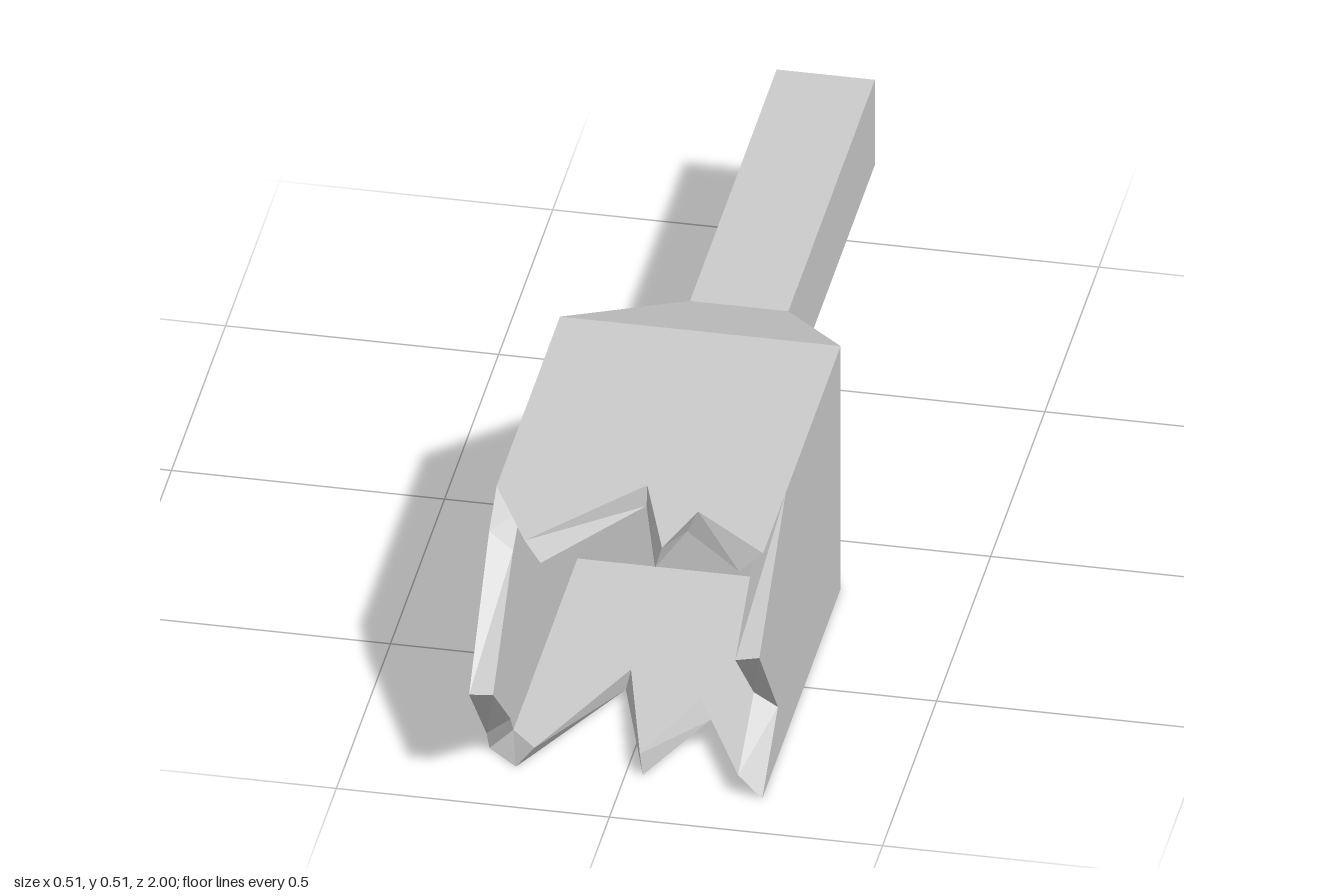
import * as THREE from 'three';

const HALF = 0.257;       // outer half width of the square body
const INNER = 0.213;      // inner half width
const NECK = 0.09;        // half width of the neck
const SHOULDER = 0.16;    // z where the walls begin
const NECK_Z = -0.2;      // z where the neck meets the shoulder

export function createModel() {
  const group = new THREE.Group();
  const material = new THREE.MeshStandardMaterial({ color: 0xcccccc, flatShading: true });

  const add = (name, geometry, z = 0) => {
    const mesh = new THREE.Mesh(geometry, material);
    mesh.name = name;
    mesh.position.set(0, HALF, z);
    group.add(mesh);
  };

  // One mitred wall with a jagged rim; rim points are [position across, z]
  const addWall = (name, angle, rim) => {
    const shape = new THREE.Shape();
    shape.moveTo(-HALF, SHOULDER);
    shape.lineTo(HALF, SHOULDER);
    for (const [s, z] of rim) shape.lineTo(s, z);
    shape.closePath();
    const geometry = new THREE.ExtrudeGeometry(shape, { depth: 1, bevelEnabled: false });
    const p = geometry.attributes.position;
    for (let i = 0; i < p.count; i++) {
      // depth 0 is the outer face, depth 1 the inner face, shrunk to the axis
      const f = p.getZ(i) > 0.5 ? INNER / HALF : 1;
      p.setXYZ(i, p.getX(i) * f, HALF * f, p.getY(i));
    }
    geometry.rotateZ(angle);
    geometry.computeVertexNormals();
    add(name, geometry);
  };

  // Broken walls, each rim listed from +across to -across
  addWall('topWall', 0, [
    [HALF, 0.876], [0.115, 0.76], [0.075, 0.893], [0.008, 0.69], [-0.172, 0.917], [-HALF, 0.745],
  ]);
  addWall('leftWall', -Math.PI / 2, [
    [HALF, 0.885], [0.152, 0.74], [-0.057, 0.912], [-HALF, 0.668],
  ]);
  addWall('bottomWall', Math.PI, [
    [HALF, 0.812], [0.198, 0.865], [0.055, 0.57], [-0.031, 0.848], [-0.115, 0.64], [-HALF, 0.885],
  ]);
  addWall('rightWall', Math.PI / 2, [
    [HALF, 0.745], [0.203, 0.815], [-0.029, 1.0], [-0.21, 0.838], [-HALF, 0.812],
  ]);

  // Inner floor closing the hollow
  add('innerFloor', new THREE.BoxGeometry(INNER * 2, INNER * 2, 0.06), SHOULDER + 0.03);

  // Tapered square shoulder
  const shoulder = new THREE.CylinderGeometry(
    HALF * Math.SQRT2, NECK * Math.SQRT2, SHOULDER - NECK_Z, 4);
  shoulder.rotateY(Math.PI / 4).rotateX(Math.PI / 2);
  add('shoulder', shoulder, (SHOULDER + NECK_Z) / 2);

  // Square neck
  add('neck', new THREE.BoxGeometry(NECK * 2, NECK * 2, 1 + NECK_Z), (NECK_Z - 1) / 2);

  return group;
}
